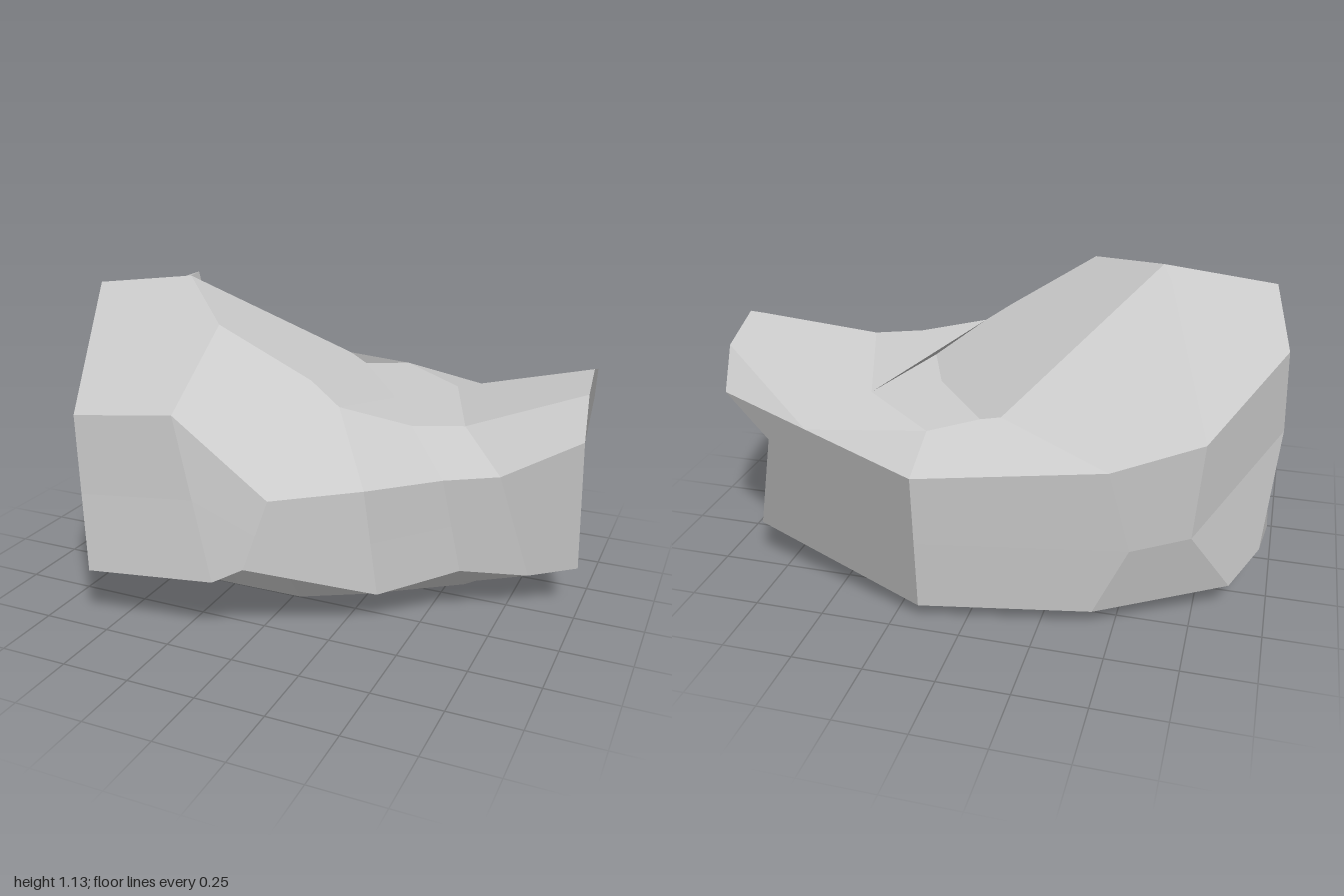
import * as THREE from 'three';

// Horizontal rings, running front -> right end -> back -> left end (13 columns each)
const rim = [
  [-0.63, 0.76, 0.67], [-0.24, 0.81, 0.67], [0.08, 0.54, 0.62], [0.33, 0.53, 0.39],
  [0.57, 0.565, 0.27], [0.74, 0.565, 0.16], [0.99, 0.68, 0.02], [0.93, 0.69, -0.49],
  [0.16, 0.57, -0.73], [-0.48, 0.64, -0.66], [-0.77, 0.73, -0.57], [-0.99, 0.97, -0.32],
  [-0.93, 1.08, 0.03],
];
const skirt = [
  [-0.57, 0.21, 0.73], [-0.1, 0.24, 0.69], [0.01, 0.3, 0.67], [0.37, 0.13, 0.35],
  [0.62, 0.2, 0.19], [0.83, 0.15, 0.03], [0.99, 0.17, -0.06], [0.84, 0.17, -0.49],
  [0.16, 0.06, -0.7], [-0.43, 0.07, -0.6], [-0.87, 0.1, -0.37], [-0.96, 0.19, -0.25],
  [-0.98, 0.2, -0.1],
];
const floor = [
  [-0.5, 0.04, 0.32], [-0.2, 0.04, 0.32], [0.05, 0.03, 0.3], [0.3, 0.04, 0.18],
  [0.62, 0.11, 0.11], [0.56, 0.03, -0.05], [0.58, 0.04, -0.2], [0.5, 0.04, -0.45],
  [0.2, 0.03, -0.62], [-0.25, 0.02, -0.55], [-0.5, 0.02, -0.45], [-0.62, 0.03, -0.25],
  [-0.65, 0.03, -0.02],
];
const mix = (a, b, t) => a.map((v, k) => v + (b[k] - v) * t);

// Half-way up the walls; the back left columns bulge outwards
const bulge = { 9: [-0.55, 0.34, -0.62], 10: [-0.74, 0.36, -0.52], 11: [-1, 0.65, -0.23] };
const waist = rim.map((p, i) => bulge[i] ?? mix(skirt[i], p, 0.5));

// Underside ledge; the front overhang runs in almost level before it drops
const ledge = skirt.map((p, i) => {
  const [x, y, z] = mix(p, floor[i], 0.77);
  return [x, i < 3 ? 0.15 : y, z];
});

// Crest above the front, from the tall end to the raised right tip
const crest = [
  [-0.24, 1.04, 0.33], [0.07, 0.85, 0.24], [0.18, 0.77, 0.25], [0.43, 0.72, 0.2],
  [0.6, 0.72, 0.13], [0.98, 0.83, -0.05], [0.97, 0.885, -0.18], [0.95, 0.83, -0.39],
];
// Lower edge of the sloping face that falls into the saddle
const slope = [[0.32, 0.69, 0.04], [0.22, 0.69, -0.2], [-0.02, 0.71, -0.52], [-0.1, 0.74, -0.55]];
const peak = [-0.54, 1.13, 0];
const backPeak = [-0.58, 1.12, -0.13];
const saddle = [0.42, 0.7, -0.38];
const backLip = [0.13, 0.7, -0.63];
const backEdge = mix(rim[7], rim[8], 0.4545);
const base = [-0.05, 0, -0.15];

// Polygons cut as fans from their first corner, each facet with one normal;
// oneFacet shares a single normal between all of them
function facets(name, polygons, material, oneFacet = false) {
  const positions = [], normals = [], tri = new THREE.Triangle();
  let sum = new THREE.Vector3();
  for (const p of polygons) {
    if (!oneFacet) sum = new THREE.Vector3();
    const [a, ...rest] = p.map((v) => new THREE.Vector3(...v));
    for (let i = 0; i < rest.length - 1; i++) {
      tri.set(a, rest[i], rest[i + 1]);
      sum.addScaledVector(tri.getNormal(new THREE.Vector3()), tri.getArea());
      for (const v of [a, rest[i], rest[i + 1]]) {
        positions.push(...v);
        normals.push(sum);
      }
    }
  }
  const flat = normals.flatMap((n) => n.clone().normalize().toArray());
  const geometry = new THREE.BufferGeometry();
  geometry.setAttribute('position', new THREE.Float32BufferAttribute(positions, 3));
  geometry.setAttribute('normal', new THREE.Float32BufferAttribute(flat, 3));
  const mesh = new THREE.Mesh(geometry, material);
  mesh.name = name;
  return mesh;
}

export function createModel() {
  const group = new THREE.Group();
  group.name = 'rock';
  const stone = new THREE.MeshStandardMaterial({ color: 0xcccccc, side: THREE.DoubleSide });
  const U = rim, M = waist, L = skirt, G = ledge, F = floor, T = crest, S = slope;

  // Walls and underside, column by column
  const walls = [], underside = [];
  for (let i = 0; i < U.length; i++) {
    const j = (i + 1) % U.length;
    if (i !== 6 && i !== 7) walls.push([L[i], L[j], M[j], M[i]], [M[i], M[j], U[j], U[i]]);
    underside.push([G[i], G[j], L[j], L[i]], [F[i], F[j], G[j], G[i]], [base, F[j], F[i]]);
  }

  // Right end: an overhang and a foot meeting in a diagonal groove
  const rightEnd = [
    [U[6], L[6], L[7], L[8], U[7], T[7], T[6], T[5]],
    [U[7], L[8], U[8]],
  ];

  // Front shoulder, between the rim and the crest
  const shoulder = [
    [U[0], U[1], T[0], peak, U[12]],
    [U[1], U[2], U[3], T[2], T[1], T[0]],
    [U[3], U[4], T[3], T[2]],
    [U[4], U[5], T[4], T[3]],
    [U[5], U[6], T[5], T[4]],
  ];

  // Top: slope from the peak, hollow saddle and the fall to the back rim
  const top = [
    [peak, T[0], T[1], T[2], S[0], S[1], S[2], S[3]],
    [saddle, backLip, S[2], S[1], S[0], T[2], T[3], T[4]],
    [saddle, T[4], T[5], T[6], T[7], backEdge, backLip],
    [T[7], U[7], backEdge],
    [backLip, backEdge, U[8]],
    [S[3], S[2], backLip, U[8], U[9]],
    [peak, S[3], U[9], U[10], backPeak],
    [backPeak, U[10], U[11]],
    [peak, backPeak, U[11], U[12]],
  ];

  group.add(
    facets('walls', walls, stone),
    facets('underside', underside, stone),
    facets('rightEnd', rightEnd, stone, true),
    facets('frontShoulder', shoulder, stone),
    facets('topSurface', top, stone),
  );
  return group;
}
